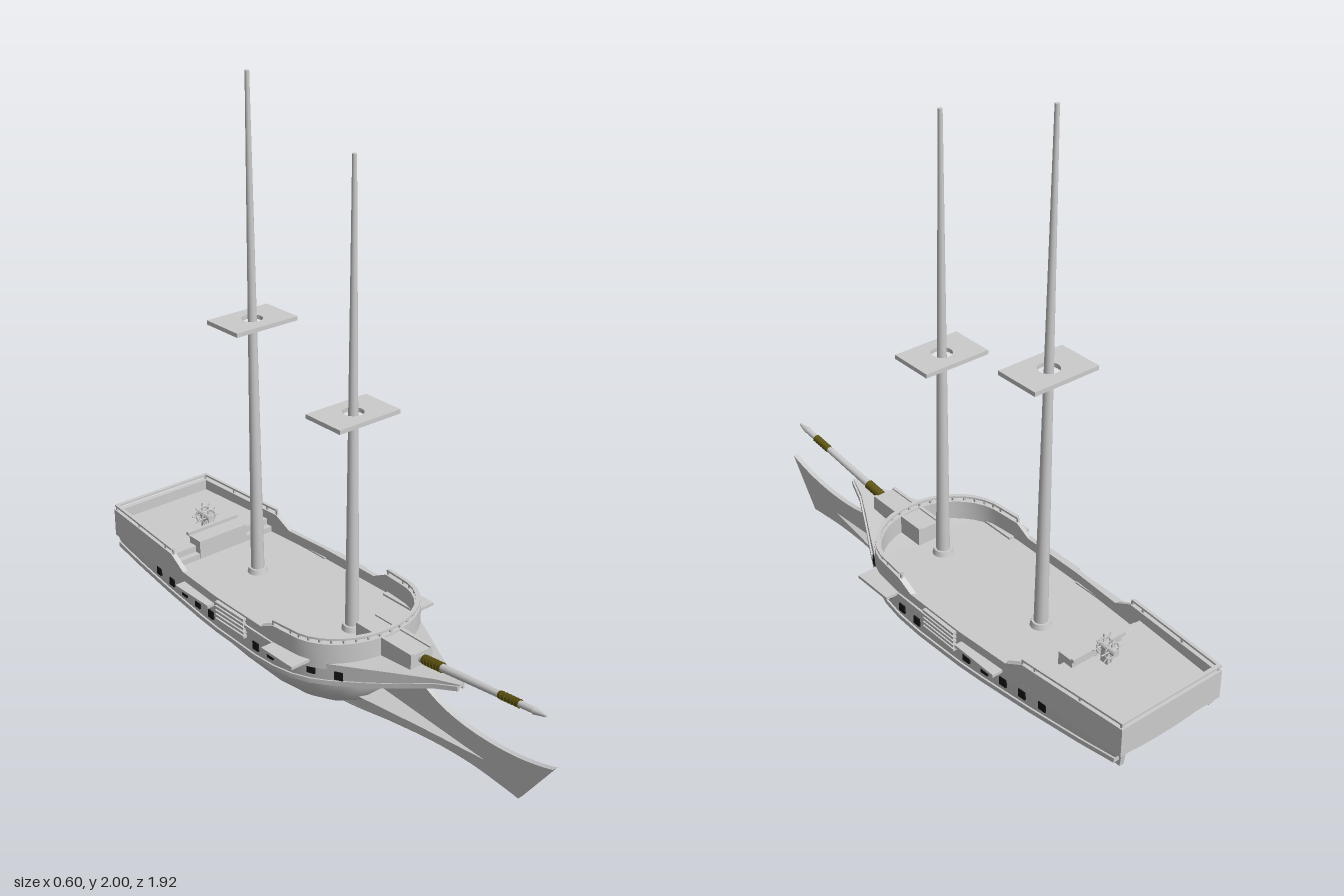
import * as THREE from 'three';
import { toCreasedNormals } from 'three/addons/utils/BufferGeometryUtils.js';

const grey = new THREE.MeshStandardMaterial({ color: 0xcccccc });
const greyDouble = new THREE.MeshStandardMaterial({ color: 0xcccccc, side: THREE.DoubleSide });
const dark = new THREE.MeshStandardMaterial({ color: 0x151515 });
const rope = new THREE.MeshStandardMaterial({ color: 0x5c5210 });

// Linear lookup in a table of [z, value] rows with rising z
function lookup(table, z) {
  if (z <= table[0][0]) return table[0][1];
  for (let i = 1; i < table.length; i++) {
    const [z0, a] = table[i - 1], [z1, b] = table[i];
    if (z <= z1) return a + (b - a) * (z - z0) / (z1 - z0);
  }
  return table[table.length - 1][1];
}

// Skin through rings of [x, y, z] points; closed solids are turned to face outward
function loft(rings, loop = false, crease = 0.6) {
  const tris = [], n = rings[0].length, m = rings.length;
  for (let i = 0; i < (loop ? m : m - 1); i++) {
    const a = rings[i], b = rings[(i + 1) % m];
    for (let j = 0; j < n; j++) {
      const k = (j + 1) % n;
      tris.push([a[j], b[j], b[k]], [a[j], b[k], a[k]]);
    }
  }
  if (!loop) for (let j = 1; j < n - 1; j++) {
    tris.push([rings[0][0], rings[0][j], rings[0][j + 1]]);
    tris.push([rings[m - 1][0], rings[m - 1][j + 1], rings[m - 1][j]]);
  }
  let volume = 0;
  for (const [a, b, c] of tris)
    volume += new THREE.Vector3(...a).dot(new THREE.Vector3(...b).cross(new THREE.Vector3(...c)));
  const flat = tris.flatMap(([a, b, c]) => (volume < 0 ? [...a, ...c, ...b] : [...a, ...b, ...c]));
  const geo = new THREE.BufferGeometry();
  geo.setAttribute('position', new THREE.Float32BufferAttribute(flat, 3));
  return toCreasedNormals(geo, crease);
}

// Hull lines along z
const HALF = [[-0.955, 0.2], [-0.6, 0.228], [-0.3, 0.247], [0, 0.25], [0.08, 0.243], [0.15, 0.222],
  [0.3, 0.142], [0.4, 0.087], [0.5, 0.035], [0.58, 0.008]];
const SHEER = [[-0.95, 0.262], [-0.7, 0.24], [-0.4, 0.222], [-0.1, 0.215], [0, 0.222], [0.2, 0.243],
  [0.3, 0.262], [0.4, 0.285], [0.5, 0.315], [0.58, 0.333]];
const DECK = [[-0.95, 0.31], [0.2, 0.31], [0.4, 0.328], [0.58, 0.345]];
const TOP = [[-0.96, 0.39], [-0.57, 0.383], [-0.5, 0.346], [-0.06, 0.345], [0, 0.375], [0.3, 0.38]];
const STATIONS = [-0.955, -0.8, -0.6, -0.4, -0.3, -0.1, 0, 0.08, 0.15, 0.2, 0.3, 0.4, 0.5, 0.58];

export function createModel() {
  const ship = new THREE.Group();
  const add = (name, geo, mat = grey, x = 0, y = 0, z = 0) => {
    const mesh = new THREE.Mesh(geo, mat);
    mesh.name = name;
    mesh.position.set(x, y, z);
    ship.add(mesh);
    return mesh;
  };
  const box = (name, w, h, d, x, y, z, mat) => add(name, new THREE.BoxGeometry(w, h, d), mat, x, y, z);
  const rod = (name, a, b, r0, r1 = r0, mat = grey, sides = 12) => {
    const dir = b.clone().sub(a);
    const mesh = add(name, new THREE.CylinderGeometry(r1, r0, dir.length(), sides), mat);
    mesh.position.copy(a).add(b).multiplyScalar(0.5);
    mesh.quaternion.setFromUnitVectors(new THREE.Vector3(0, 1, 0), dir.normalize());
    return mesh;
  };
  const V = (x, y, z) => new THREE.Vector3(x, y, z);

  // Rounded lower hull: z, half width, bottom
  const bowl = [[-0.93, 0.195, 0.245], [-0.8, 0.203, 0.203], [-0.6, 0.213, 0.14], [-0.4, 0.222, 0.092],
    [-0.2, 0.226, 0.06], [-0.05, 0.226, 0.05], [0.05, 0.217, 0.056], [0.12, 0.195, 0.072],
    [0.18, 0.16, 0.1], [0.225, 0.115, 0.135], [0.25, 0.065, 0.175], [0.26, 0.015, 0.21]];
  add('lowerHull', loft(bowl.map(([z, w, low]) => {
    const top = lookup(SHEER, z) + 0.012;
    return Array.from({ length: 25 }, (_, i) => {
      const a = Math.PI * i / 24;
      return [w * Math.cos(a), top - (top - low) * Math.sin(a), z];
    });
  }), false, 0.9));

  // Upper hull with the pointed beak and the main deck as its top
  add('upperHull', loft(STATIONS.map((z) => {
    const w = lookup(HALF, z), s = lookup(SHEER, z), d = lookup(DECK, z);
    const zb = z < -0.9 ? z + 0.025 : z;
    return [[w, d, z], [w * 0.975, s, zb], [-w * 0.975, s, zb], [-w, d, z]];
  }), false, 0.4));

  // Moulding along the lower edge of the upper hull
  for (const s of [1, -1]) {
    add('wale', loft(STATIONS.map((z) => {
      const w = lookup(HALF, z) * 0.975, y = lookup(SHEER, z), zb = z < -0.9 ? z + 0.02 : z;
      return [[s * (w + 0.007), y + 0.008, zb], [s * (w + 0.007), y - 0.008, zb],
        [s * w * 0.93, y - 0.008, zb], [s * w * 0.93, y + 0.008, zb]];
    }), false, 0.4));
  }

  // Bulwark running round the deck with a rounded bow
  const half = [-0.958, -0.8, -0.62, -0.57, -0.5, -0.3, -0.06, 0, 0.08].map((z) => [lookup(HALF, z), z]);
  for (let i = 1; i < 9; i++) {
    const a = Math.PI / 2 * i / 9;
    half.push([0.243 * Math.cos(a), 0.08 + 0.2 * Math.sin(a)]);
  }
  const outline = [...half, [0, 0.28], ...half.slice().reverse().map(([x, z]) => [-x, z])];
  const inset = ([x, z], k) => [x * (1 - 0.07 * k), -0.34 + (z + 0.34) * (1 - 0.03 * k)];
  const band = (p, outer, inner, low, high) => {
    const [ox, oz] = inset(p, outer), [ix, iz] = inset(p, inner);
    return [[ox, low, oz], [ox, high, oz], [ix, high, iz], [ix, low, iz]];
  };
  add('bulwark', loft(outline.map((p) => band(p, 0, 1, 0.29, lookup(TOP, p[1]))), true, 0.4));

  // Handrails with posts on the bow and the stern bulwark
  const railing = (name, points) => {
    const h = (z) => lookup(TOP, z) + 0.016;
    add(name, loft(points.map((p) => band(p, 0.1, 0.8, h(p[1]) - 0.004, h(p[1]) + 0.003)), false, 0.4));
    for (const p of points) {
      const [x, z] = inset(p, 0.5);
      box('railPost', 0.007, 0.022, 0.007, x, h(z) - 0.01, z);
    }
  };
  railing('bowRail', outline.filter(([, z]) => z > -0.01));
  const aft = half.filter(([, z]) => z < -0.56).reverse();
  railing('sternRail', [...aft, ...aft.slice().reverse().map(([x, z]) => [-x, z])]);

  // Raised quarterdeck, bench and double steering wheel
  add('quarterdeck', loft([-0.945, -0.8, -0.61].map((z) => {
    const w = lookup(HALF, z) - 0.008;
    return [[w, 0.352, z], [w, 0.3, z], [-w, 0.3, z], [-w, 0.352, z]];
  }), false, 0.4));
  box('deckStep', 0.43, 0.02, 0.025, 0, 0.32, -0.6);
  box('bench', 0.2, 0.065, 0.06, 0, 0.345, -0.615);
  box('benchBack', 0.21, 0.012, 0.012, 0, 0.384, -0.65);
  rod('wheelAxle', V(0, 0.405, -0.655), V(0, 0.405, -0.725), 0.012);
  box('wheelStand', 0.02, 0.06, 0.03, 0, 0.375, -0.685);
  for (const z of [-0.67, -0.705]) {
    add('wheelRim', new THREE.TorusGeometry(0.027, 0.003, 6, 20), grey, 0, 0.405, z);
    for (let i = 0; i < 4; i++) {
      const a = Math.PI * i / 4, c = 0.042 * Math.cos(a), s = 0.042 * Math.sin(a);
      rod('wheelSpoke', V(c, 0.405 + s, z), V(-c, 0.405 - s, z), 0.0025, 0.0025, grey, 6);
    }
  }

  // Keel plate ending in the forked ram at the bow
  const keel = new THREE.Shape();
  keel.moveTo(-0.775, 0.008);
  keel.lineTo(-0.2, 0.012);
  keel.bezierCurveTo(0.15, 0.02, 0.35, 0.1, 0.6, 0.1);
  keel.quadraticCurveTo(0.72, 0.1, 0.835, 0.083);
  keel.lineTo(0.96, 0.253);
  keel.quadraticCurveTo(0.83, 0.21, 0.68, 0.213);
  keel.quadraticCurveTo(0.5, 0.215, 0.4, 0.29);
  keel.lineTo(0.2, 0.25);
  keel.lineTo(-0.8, 0.225);
  keel.closePath();
  const keelGeo = new THREE.ExtrudeGeometry(keel, { depth: 0.018, bevelEnabled: false, curveSegments: 16 });
  add('keel', keelGeo.rotateY(-Math.PI / 2).translate(0.009, 0, 0));
  const shoe = new THREE.CatmullRomCurve3([[-0.77, 0.008], [-0.2, 0.012], [0.05, 0.025], [0.3, 0.068],
    [0.5, 0.094], [0.65, 0.099], [0.83, 0.085]].map(([z, y]) => V(0, y, z)));
  add('keelShoe', new THREE.TubeGeometry(shoe, 40, 0.007, 6));
  // Flare widening from the ram into the hull
  add('ramFlare', loft([[0.69, 0.01, 0.004], [0.45, 0.038, 0.018], [0.15, 0.08, 0.036]].map(([z, w, h]) =>
    [[w, 0.142, z], [0, 0.142 + h, z], [-w, 0.142, z], [0, 0.142 - h, z]]), false, 0.3));

  // Tapered masts with lookout platforms
  const mast = (name, z, top, platformY) => {
    rod(name + 'Mast', V(0, 0.3, z), V(0, top, z), 0.023, 0.007, grey, 20);
    add(name + 'MastCollar', new THREE.CylinderGeometry(0.03, 0.035, 0.02, 20), grey, 0, 0.318, z);
    const shape = new THREE.Shape([[-1, -1], [1, -1], [1, 1], [-1, 1]].map(([x, y]) =>
      new THREE.Vector2(x * 0.12, y * 0.078)));
    shape.holes.push(new THREE.Path().absarc(0, 0, 0.034, 0, Math.PI * 2, true));
    const geo = new THREE.ExtrudeGeometry(shape, { depth: 0.014, bevelEnabled: false, curveSegments: 20 });
    add(name + 'Platform', geo.rotateX(-Math.PI / 2), grey, 0, platformY - 0.007, z);
  };
  mast('fore', 0.09, 1.845, 1.052);
  mast('main', -0.395, 2, 1.212);

  // Bowsprit with rope wrappings, and its housing
  box('bowspritHousing', 0.09, 0.06, 0.25, 0, 0.345, 0.285);
  for (const s of [1, -1]) box('housingEdge', 0.012, 0.008, 0.25, s * 0.039, 0.376, 0.285);
  const sprit = (z) => V(0, 0.353 + (z - 0.42) * 0.108, z);
  rod('bowsprit', sprit(0.38), sprit(0.87), 0.014, 0.01);
  rod('bowspritTip', sprit(0.87), sprit(0.915), 0.012, 0.004);
  for (const [start, r] of [[0.42, 0.015], [0.735, 0.012]]) {
    for (let i = 0; i < 6; i++) {
      const z = start + i * 0.0135;
      rod('ropeWrap', sprit(z), sprit(z + 0.0125), r, r + 0.002, rope);
    }
  }

  // Gun ports, shroud shelves and boarding steps on both sides
  const ports = [0.23, 0.15, 0.065, -0.015, -0.09, -0.332, -0.412, -0.492, -0.572, -0.655];
  for (const s of [1, -1]) {
    for (const z of ports) {
      const slope = (lookup(HALF, z + 0.02) - lookup(HALF, z - 0.02)) / 0.04;
      const y = lookup(SHEER, z) + (z > 0.2 ? 0.026 : 0.042);
      const port = box('gunPort', 0.014, 0.028, 0.028, s * (lookup(HALF, z) - 0.005), y, z, dark);
      port.rotation.y = s * Math.atan(slope);
    }
    box('foreShelf', 0.085, 0.01, 0.15, s * 0.255, 0.312, 0.077);
    box('mainShelf', 0.05, 0.01, 0.18, s * 0.248, 0.31, -0.4);
    for (let i = 0; i < 5; i++) box('boardingStep', 0.022, 0.009, 0.15, s * 0.25, 0.272 + i * 0.0155, -0.212);
    box('sidePlank', 0.012, 0.01, 0.14, s * 0.25, 0.312, -0.07);
  }
  return ship;
}
